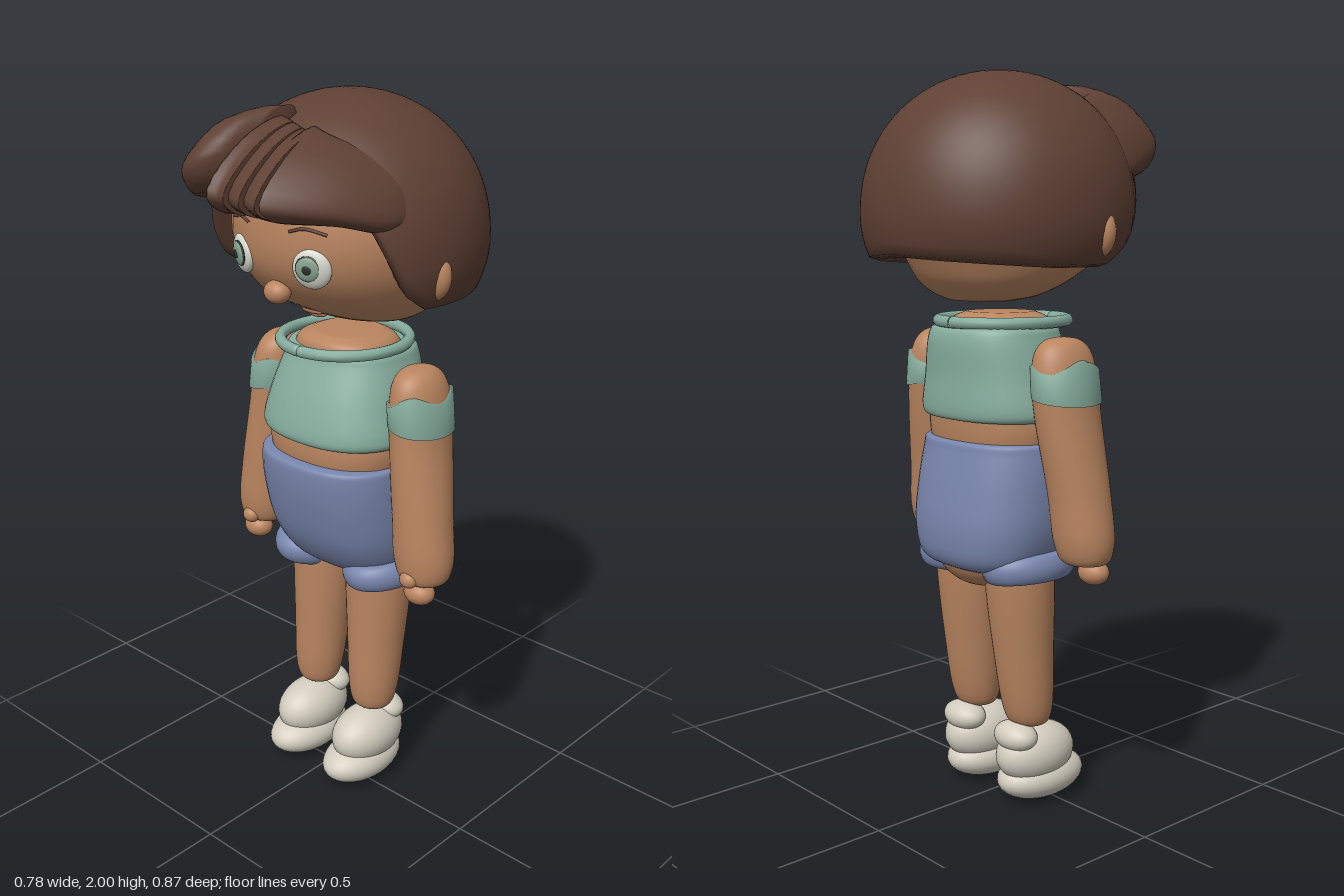
import * as THREE from 'three';

const paint = (name, color) => {
  const m = new THREE.MeshStandardMaterial({ color });
  m.name = name;
  return m;
};
const V = (x, y, z) => new THREE.Vector3(x, y, z);

// Closed skin over a list of equal-length rings; `rows` > 0 smooths along the length.
function loft(rings, rows = 0) {
  if (rows) {
    const curves = rings[0].map((_, j) => new THREE.CatmullRomCurve3(rings.map(r => r[j])));
    rings = Array.from({ length: rows + 1 }, (_, i) => curves.map(c => c.getPoint(i / rows)));
  }
  const n = rings[0].length, pos = [], idx = [];
  const push = p => pos.push(p.x, p.y, p.z);
  rings.forEach(r => r.forEach(push));
  for (let i = 0; i < rings.length - 1; i++) {
    for (let j = 0; j < n; j++) {
      const k = (j + 1) % n, a = i * n + j, b = i * n + k;
      idx.push(a, b, b + n, a, b + n, a + n);
    }
  }
  const end = (ring, base, first) => {
    const c = pos.length / 3;
    push(ring.reduce((s, p) => s.add(p), V(0, 0, 0)).divideScalar(n));
    for (let j = 0; j < n; j++) {
      const k = (j + 1) % n;
      idx.push(c, base + (first ? k : j), base + (first ? j : k));
    }
  };
  end(rings[0], 0, true);
  end(rings[rings.length - 1], (rings.length - 1) * n, false);
  const g = new THREE.BufferGeometry();
  g.setAttribute('position', new THREE.Float32BufferAttribute(pos, 3));
  g.setIndex(idx);
  g.computeVertexNormals();
  return g;
}

// Horizontal rounded ring; e below 1 makes it squarer.
function ring([y, rx, rz, cz = 0, cx = 0], e = 1, n = 40) {
  return Array.from({ length: n }, (_, j) => {
    const a = (j / n) * Math.PI * 2, s = Math.sin(a), c = Math.cos(a);
    return V(cx + rx * Math.sign(s) * Math.abs(s) ** e, y, cz + rz * Math.sign(c) * Math.abs(c) ** e);
  });
}
const body = (list, e = 1) => loft(list.map(r => ring(r, e)), list.length * 5);

// Lock of hair: each section is [x, y, z] triples root, top, tip, under, back.
function lock(sections) {
  return loft(sections.map(s => new THREE.CatmullRomCurve3(s.map(p => V(...p)), true)
    .getPoints(24).slice(0, 24)), sections.length * 5);
}

// Bowl of hair with a rim that rises over the face.
const RIM = [[0, 1.85], [35, 1.8], [50, 1.73], [58, 1.64], [66, 1.55], [78, 1.5], [105, 1.5], [180, 1.525]];
function rimAt(deg) {
  const i = Math.max(1, RIM.findIndex(p => p[0] >= deg));
  const [a, ya] = RIM[i - 1], [b, yb] = RIM[i];
  return THREE.MathUtils.lerp(ya, yb, (deg - a) / (b - a));
}
const hairRadius = y => y > 1.62
  ? 0.372 * Math.sqrt(Math.max(0, 1 - ((y - 1.62) / 0.38) ** 2.15))
  : 0.372 - 2 * (1.62 - y) ** 2;
function hairBowl() {
  const rows = 28, n = 96, rings = [];
  for (let i = -2; i < rows; i++) {
    rings.push(Array.from({ length: n }, (_, j) => {
      const a = (j / n) * Math.PI * 2;
      const rim = rimAt(Math.min(180, Math.abs(a > Math.PI ? 360 - a * 180 / Math.PI : a * 180 / Math.PI)));
      const s = 1 - Math.max(0, i) / rows;
      const y = 2 - (2 - rim) * (1 - Math.cos(s * Math.PI / 2));
      const r = i === -2 ? 0.24 : hairRadius(y) - (i === -1 ? 0.025 : 0);
      return V(Math.sin(a) * r, y + (i === -2 ? 0.03 : i === -1 ? -0.008 : 0), -0.068 + Math.cos(a) * r);
    }));
  }
  return loft(rings);
}

export function createModel() {
  const model = new THREE.Group();
  const skin = paint('skin', 0xba8560), hair = paint('hair brown', 0x5f4034);
  const shirt = paint('shirt green', 0x87ad9f), denim = paint('shorts blue', 0x7986ad);
  const shoe = paint('shoe cream', 0xd3cdbf), white = paint('eye white', 0xd9d9cf);
  const iris = paint('iris green', 0x8aa692), dark = paint('pupil dark', 0x2c332f);
  const lip = paint('lip', 0x99614a);

  const add = (name, geo, mat, parent = model) => {
    const m = new THREE.Mesh(geo, mat);
    m.name = name;
    parent.add(m);
    return m;
  };
  const ball = (name, p, r, mat, parent = model) => {
    const m = add(name, new THREE.SphereGeometry(1, 32, 20), mat, parent);
    m.position.set(...p);
    m.scale.set(...r);
    return m;
  };
  const tube = (name, pts, r, mat, parent = model) =>
    add(name, new THREE.TubeGeometry(new THREE.CatmullRomCurve3(pts), 32, r, 10), mat, parent);

  // Head and face
  add('head', body([[1.4, 0.1, 0.08, -0.13], [1.415, 0.165, 0.12, -0.115], [1.45, 0.225, 0.18, -0.095],
    [1.5, 0.265, 0.235, -0.07], [1.58, 0.302, 0.28, -0.06], [1.68, 0.312, 0.292, -0.06],
    [1.8, 0.27, 0.265, -0.06], [1.88, 0.18, 0.18, -0.06], [1.91, 0.08, 0.08, -0.06]]), skin);
  ball('nose', [0, 1.52, 0.2], [0.038, 0.031, 0.033], skin);
  ball('upperLip', [0, 1.444, 0.068], [0.04, 0.008, 0.018], lip);
  ball('lowerLip', [0, 1.432, 0.052], [0.03, 0.008, 0.018], lip);

  // Hair
  add('hairBowl', hairBowl(), hair);
  add('sweptFringe', lock([
    [[-0.24, 1.84, 0], [-0.29, 1.8, 0.05], [-0.31, 1.73, 0.09], [-0.3, 1.7, 0.07], [-0.26, 1.76, 0]],
    [[-0.19, 1.9, 0.04], [-0.24, 1.86, 0.13], [-0.27, 1.77, 0.2], [-0.26, 1.72, 0.17], [-0.22, 1.78, 0.06]],
    [[-0.16, 1.925, 0.08], [-0.18, 1.91, 0.22], [-0.2, 1.82, 0.33], [-0.19, 1.75, 0.29], [-0.17, 1.8, 0.13]],
    [[-0.12, 1.94, 0.13], [-0.12, 1.935, 0.28], [-0.12, 1.85, 0.37], [-0.12, 1.78, 0.33], [-0.12, 1.82, 0.18]],
    [[-0.07, 1.96, 0.14], [-0.06, 1.955, 0.26], [-0.06, 1.88, 0.335], [-0.06, 1.81, 0.3], [-0.07, 1.84, 0.18]],
    [[-0.01, 1.97, 0.12], [-0.015, 1.965, 0.19], [-0.02, 1.9, 0.24], [-0.02, 1.84, 0.22], [-0.01, 1.87, 0.14]],
  ]), hair);
  add('sideFringe', lock([
    [[0.08, 1.93, 0.13], [0.1, 1.89, 0.29], [0.115, 1.78, 0.4], [0.11, 1.74, 0.33], [0.09, 1.78, 0.15]],
    [[0.11, 1.92, 0.13], [0.13, 1.885, 0.28], [0.14, 1.78, 0.39], [0.135, 1.735, 0.32], [0.11, 1.78, 0.15]],
    [[0.2, 1.88, 0.08], [0.23, 1.85, 0.2], [0.25, 1.76, 0.27], [0.225, 1.725, 0.22], [0.18, 1.78, 0.1]],
    [[0.26, 1.83, 0], [0.3, 1.8, 0.09], [0.315, 1.73, 0.13], [0.29, 1.7, 0.11], [0.25, 1.78, 0.02]],
    [[0.29, 1.78, -0.04], [0.31, 1.76, 0], [0.32, 1.73, 0.02], [0.3, 1.72, 0.02], [0.29, 1.75, -0.02]],
  ]), hair);
  for (let i = 0; i < 3; i++) {
    // Thin overlapping strips beside the parting
    const strip = (x, d) => {
      const y = -x * 0.25;
      return [[x * 0.7, 1.95 + y, 0.16], [x * 0.9, 1.92 + y, 0.3 + d], [x, 1.8 + y * 0.5, 0.43 + d - x * 0.16],
        [x, 1.745, 0.36 + d - x * 0.16], [x * 0.8, 1.8, 0.2]];
    };
    const x = i * 0.045;
    add('fringeStrip' + (i + 1), lock([strip(x, i ? -0.02 : 0), strip(x + 0.025, -0.008), strip(x + 0.05, 0)]), hair);
  }

  // Torso, shirt and shorts
  add('torso', body([[0.98, 0.2, 0.165, -0.055], [1.06, 0.215, 0.175, -0.055], [1.15, 0.2, 0.17, -0.06],
    [1.3, 0.155, 0.135, -0.07], [1.35, 0.13, 0.12, -0.065], [1.368, 0.09, 0.09, -0.065]], 0.85), skin);
  add('shirt', body([[1.085, 0.2, 0.17, -0.055], [1.088, 0.222, 0.188, -0.055], [1.105, 0.231, 0.195, -0.055],
    [1.2, 0.212, 0.183, -0.065], [1.3, 0.184, 0.163, -0.085], [1.328, 0.172, 0.152, -0.085],
    [1.334, 0.14, 0.125, -0.08]], 0.85), shirt);
  add('shorts', body([[0.67, 0.13, 0.1, -0.11], [0.7, 0.19, 0.152, -0.11], [0.78, 0.222, 0.188, -0.09],
    [0.9, 0.23, 0.2, -0.065], [1.0, 0.226, 0.197, -0.048], [1.025, 0.221, 0.192, -0.047],
    [1.03, 0.2, 0.17, -0.047]], 0.8), denim);
  ball('pelvis', [0, 0.71, -0.125], [0.15, 0.095, 0.115], skin);

  for (const s of [1, -1]) {
    const side = new THREE.Group();
    side.name = s > 0 ? 'leftSide' : 'rightSide';
    model.add(side);
    const at = (x, y, z) => [s * x, y, z];

    // Eye, brow and ear
    const eye = new THREE.Group();
    eye.name = 'eye';
    eye.position.set(...at(0.122, 1.6, 0.199));
    eye.rotation.set(0.12, s * 0.38, 0);
    side.add(eye);
    ball('eyeWhite', [0, 0, 0], [0.052, 0.052, 0.02], white, eye);
    ball('irisRim', [-s * 0.006, 0.004, 0.014], [0.034, 0.034, 0.008], dark, eye);
    ball('iris', [-s * 0.006, 0.004, 0.016], [0.031, 0.031, 0.0085], iris, eye);
    ball('pupil', [-s * 0.006, 0.004, 0.021], [0.014, 0.014, 0.006], dark, eye);
    tube('eyebrow', [V(s * 0.07, 1.69, 0.226), V(s * 0.11, 1.7, 0.214), V(s * 0.165, 1.688, 0.189)], 0.004, hair, side);
    ball('ear', at(0.325, 1.58, -0.02), [0.055, 0.065, 0.035], skin, side);

    // Collar half
    const collar = Array.from({ length: 13 }, (_, i) => {
      const a = 0.06 + (i / 12) * (Math.PI - 0.06);
      return V(s * 0.172 * Math.sin(a), 1.344, -0.055 + 0.178 * Math.cos(a));
    });
    tube('collar', collar, 0.016, shirt, side);
    ball('collarEnd', [collar[0].x, 1.344, collar[0].z], [0.016, 0.016, 0.016], shirt, side);

    // Arm, hand and sleeve band
    add('arm', body([[0.715, 0.03, 0.03, -0.04, s * 0.31], [0.725, 0.066, 0.06, -0.04, s * 0.309],
      [0.77, 0.084, 0.076, -0.042, s * 0.306], [0.9, 0.083, 0.084, -0.048, s * 0.293],
      [1.1, 0.077, 0.096, -0.065, s * 0.267], [1.22, 0.072, 0.097, -0.07, s * 0.256],
      [1.28, 0.058, 0.08, -0.07, s * 0.25], [1.305, 0.038, 0.05, -0.07, s * 0.248],
      [1.312, 0.012, 0.016, -0.07, s * 0.247]]), skin, side);
    ball('hand', at(0.315, 0.69, -0.015), [0.046, 0.034, 0.038], skin, side);
    ball('thumb', at(0.307, 0.74, 0.022), [0.027, 0.024, 0.024], skin, side);
    const wave = list => list.map((r, i) => ring([r[0], r[1], r[2], -0.068, s * r[3]]).map((p, j) => {
      p.y += (i > 1 ? 0.013 * Math.sin(j / 40 * Math.PI * 6) : 0) + (s * p.x - 0.26) * (i > 1 ? 0.1 : -0.15);
      return p;
    }));
    add('sleeve', loft(wave([[1.15, 0.07, 0.088, 0.264], [1.152, 0.081, 0.103, 0.264],
      [1.232, 0.077, 0.102, 0.256], [1.238, 0.06, 0.08, 0.256]])), shirt, side);

    // Leg with rolled cuff
    add('leg', body([[0.225, 0.03, 0.03, -0.06, s * 0.11], [0.235, 0.055, 0.052, -0.06, s * 0.11],
      [0.27, 0.069, 0.067, -0.063, s * 0.11], [0.45, 0.084, 0.085, -0.077, s * 0.107],
      [0.62, 0.095, 0.096, -0.087, s * 0.105], [0.72, 0.095, 0.1, -0.09, s * 0.105]]), skin, side);
    const cuff = add('cuff', body([[-0.036, 0.07, 0.09], [-0.034, 0.094, 0.125], [-0.012, 0.106, 0.139],
      [0.014, 0.106, 0.139], [0.036, 0.094, 0.122], [0.04, 0.06, 0.08]]), denim, side);
    cuff.position.set(...at(0.135, 0.687, -0.083));
    cuff.rotation.z = s * 0.1;

    // Shoe
    ball('shoeSole', at(0.11, 0.068, -0.015), [0.09, 0.064, 0.142], shoe, side);
    ball('shoeUpper', at(0.112, 0.14, -0.037), [0.086, 0.084, 0.126], shoe, side);
    ball('shoeHeel', at(0.11, 0.2, -0.108), [0.07, 0.042, 0.052], shoe, side);
  }
  return model;
}
